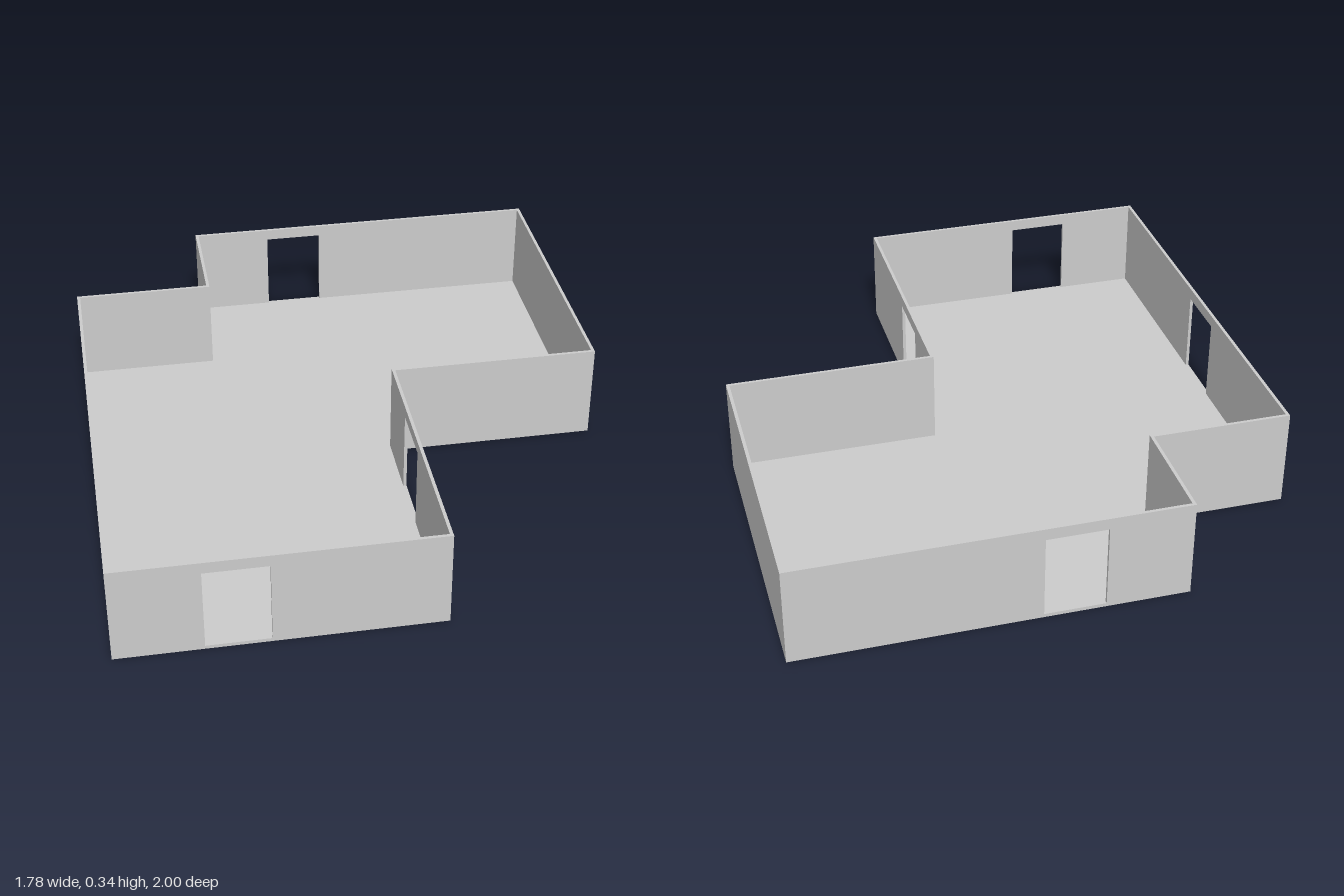
import * as THREE from 'three';

const HEIGHT = 0.34, THICK = 0.011, FLOOR = 0.012, DOOR_TOP = 0.3;

// Outer plan corners (x, z), walked clockwise as seen from above;
// door = [start, end] along the wall that begins at that corner
const corners = [
  { name: 'backWall', p: [-0.41, -1], door: [0.28, 0.485] },
  { name: 'leftWingWall', p: [0.888, -1] },
  { name: 'frontStepWall', p: [0.888, 0.073] },
  { name: 'frontWingSideWall', p: [0.173, 0.073], door: [0.228, 0.435] },
  { name: 'frontWall', p: [0.173, 1], door: [0.563, 0.773] },
  { name: 'rightWall', p: [-0.888, 1], door: [0.72, 0.93] },
  { name: 'backStepWall', p: [-0.888, -0.61] },
  { name: 'backWingSideWall', p: [-0.41, -0.61] },
].map(c => ({ ...c, p: new THREE.Vector2(...c.p) }));

const count = corners.length;
const at = i => corners[(i + count) % count].p;
const direction = i => at(i + 1).clone().sub(at(i)).normalize();
// +1 at an outward corner, -1 at a re-entrant one
const turn = i => Math.sign(direction(i - 1).cross(direction(i)));

function rectangle(target, x0, y0, x1, y1) {
  target.moveTo(x0, y0).lineTo(x1, y0).lineTo(x1, y1).lineTo(x0, y1).closePath();
  return target;
}

// Wall panel with an optional doorway, mitred at both ends
function wallGeometry(i) {
  const length = at(i).distanceTo(at(i + 1));
  const shape = rectangle(new THREE.Shape(), 0, 0, length, HEIGHT);
  const door = corners[i].door;
  if (door) shape.holes.push(rectangle(new THREE.Path(), door[0], FLOOR, door[1], DOOR_TOP));
  const geometry = new THREE.ExtrudeGeometry(shape, { depth: THICK, bevelEnabled: false });
  const pos = geometry.attributes.position;
  for (let v = 0; v < pos.count; v++) {
    if (pos.getZ(v) < THICK / 2) continue;
    const x = pos.getX(v);
    if (x < 1e-5) pos.setX(v, THICK * turn(i));
    else if (x > length - 1e-5) pos.setX(v, length - THICK * turn(i + 1));
  }
  geometry.computeVertexNormals();
  return geometry;
}

export function createModel() {
  const model = new THREE.Group();
  model.name = 'roomShell';
  const material = new THREE.MeshStandardMaterial({ color: 0xcccccc });

  // Floor slab between the walls
  const plan = corners.map((c, i) => {
    const a = direction(i - 1), b = direction(i);
    return new THREE.Vector2(c.p.x - THICK * (a.y + b.y), -(c.p.y + THICK * (a.x + b.x)));
  });
  const slab = new THREE.ExtrudeGeometry(new THREE.Shape(plan), { depth: FLOOR, bevelEnabled: false });
  slab.rotateX(-Math.PI / 2);
  const floor = new THREE.Mesh(slab, material);
  floor.name = 'floor';
  model.add(floor);

  // Walls around the plan
  corners.forEach((c, i) => {
    const d = direction(i);
    const wall = new THREE.Mesh(wallGeometry(i), material);
    wall.name = c.name;
    wall.position.set(c.p.x, 0, c.p.y);
    wall.rotation.y = Math.atan2(-d.y, d.x);
    model.add(wall);
  });

  return model;
}
